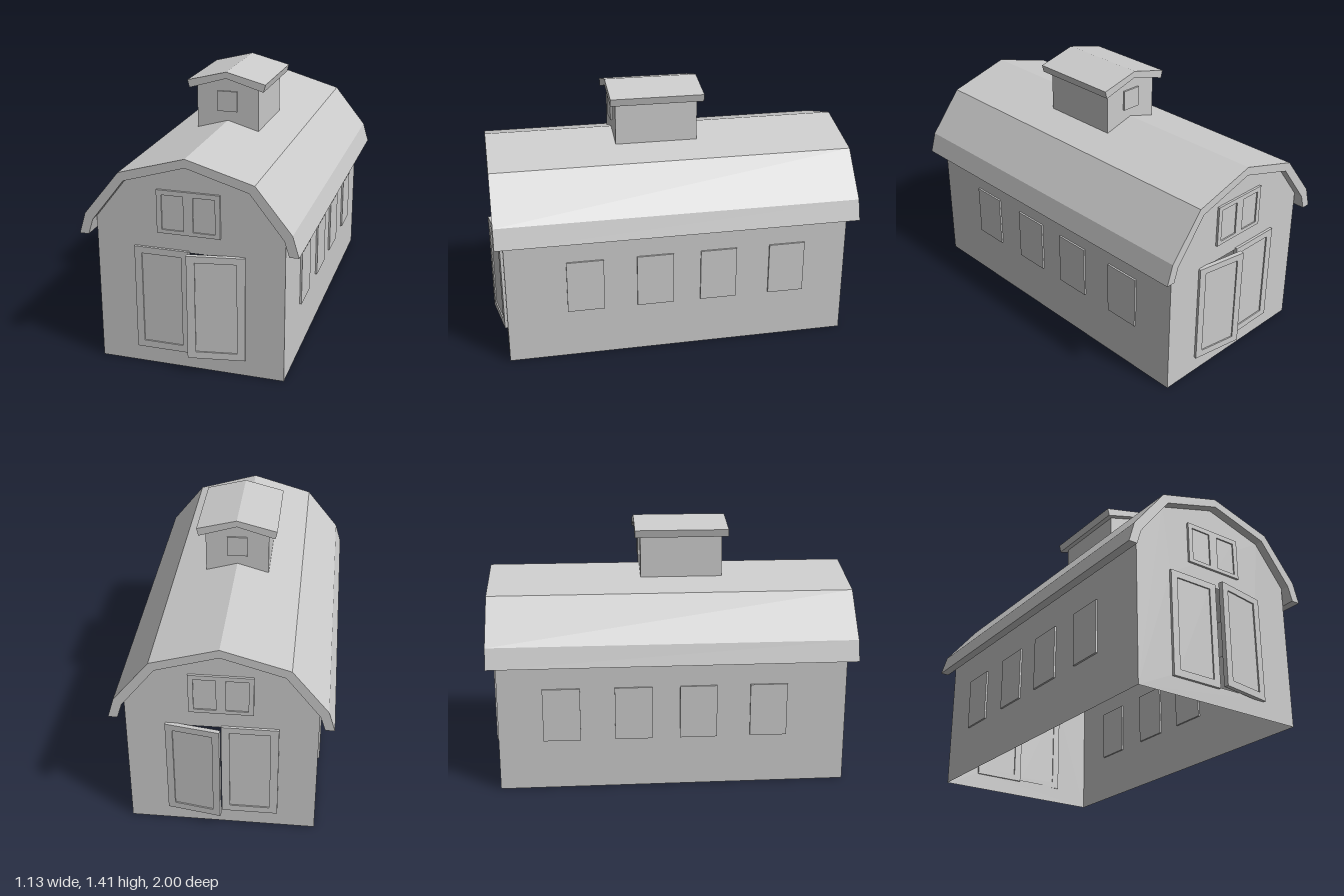
import * as THREE from 'three';

const mat = new THREE.MeshStandardMaterial({ color: 0xcccccc, flatShading: true, side: THREE.DoubleSide });

function add(parent, name, geometry, x = 0, y = 0, z = 0) {
  const mesh = new THREE.Mesh(geometry, mat);
  mesh.name = name;
  mesh.position.set(x, y, z);
  parent.add(mesh);
  return mesh;
}

const shapeOf = (pts) => new THREE.Shape(pts.map(([x, y]) => new THREE.Vector2(x, y)));
const rect = (x0, y0, x1, y1) => [[x0, y0], [x1, y0], [x1, y1], [x0, y1]];

// Mirrors a right-hand profile (ridge to eave) into a full left-to-right line.
const mirrored = (half) => [...half.slice(1).reverse().map(([x, y]) => [-x, y]), ...half];

// Roof slab: outer and inner half profiles swept along z.
function roofGeometry(outer, inner, length) {
  const shape = shapeOf([...mirrored(outer), ...mirrored(inner).reverse()]);
  return new THREE.ExtrudeGeometry(shape, { depth: length, bevelEnabled: false }).translate(0, 0, -length / 2);
}

// Flat panel with a raised frame around each opening; its front face is at z = 0.
function framedPanel(name, outline, openings, depth, recess) {
  const group = new THREE.Group();
  group.name = name;
  const shape = shapeOf(rect(...outline));
  openings.forEach((o) => shape.holes.push(shapeOf(rect(...o))));
  add(group, name + 'Frame', new THREE.ExtrudeGeometry(shape, { depth, bevelEnabled: false }), 0, 0, -depth);
  for (const [x0, y0, x1, y1] of openings) {
    add(group, name + 'Infill', new THREE.BoxGeometry(x1 - x0, y1 - y0, depth - 2 * recess),
      (x0 + x1) / 2, (y0 + y1) / 2, -depth / 2);
  }
  return group;
}

// Gable wall with doors and loft window; ajarSide is the side of the open door.
function gableEnd(name, ajarSide) {
  const end = new THREE.Group();
  end.name = name;
  const wall = shapeOf([...mirrored([[0, 1.1], [0.32, 1.005], [0.487, 0.79], [0.487, 0]])]);
  wall.holes.push(shapeOf(rect(-0.28, 0.1, 0.28, 0.64)));
  add(end, 'gableWall', new THREE.ShapeGeometry(wall), 0, 0, 0.938);

  for (const s of [-1, 1]) {
    const [a, b] = s > 0 ? [-0.29, -0.002] : [0.002, 0.29];
    const ajar = s === ajarSide;
    const shift = s > 0 ? -0.002 : 0.002;
    const door = framedPanel('door', [a + shift, 0.09, b - shift, 0.65],
      [[a + 0.04, 0.127, b - 0.04, 0.615]], 0.024, 0.007);
    door.position.set(s * 0.29, 0, 0.952);
    if (ajar) door.rotation.y = s * 0.165;
    end.add(door);
  }

  const loft = framedPanel('loftWindow', [-0.163, 0.735, 0.163, 0.96],
    [[-0.137, 0.755, -0.025, 0.935], [0.025, 0.755, 0.137, 0.935]], 0.024, 0.007);
  loft.position.z = 0.95;
  end.add(loft);
  return end;
}

export function createModel() {
  const barn = new THREE.Group();
  barn.name = 'barn';

  // Gable ends
  barn.add(gableEnd('frontEnd', 1));
  const back = gableEnd('backEnd', -1);
  back.rotation.y = Math.PI;
  barn.add(back);

  // Long walls with four windows each
  for (const s of [-1, 1]) {
    const wall = add(barn, 'sideWall', new THREE.PlaneGeometry(1.876, 0.79), s * 0.487, 0.395, 0);
    wall.rotation.y = s * Math.PI / 2;
    for (const z of [0.515, 0.135, -0.215, -0.6]) {
      add(barn, 'sideWindow', new THREE.BoxGeometry(0.02, 0.29, 0.2), s * 0.487, 0.418, z);
    }
  }

  // Gambrel roof
  add(barn, 'roof', roofGeometry(
    [[0, 1.14], [0.345, 1.04], [0.53, 0.81], [0.563, 0.7]],
    [[0, 1.095], [0.318, 1.0], [0.49, 0.78], [0.515, 0.7]], 1.966));

  // Cupola on the ridge
  const cupola = new THREE.Group();
  cupola.name = 'cupola';
  cupola.position.z = 0.067;
  barn.add(cupola);
  const gable = shapeOf([[-0.17, 1.09], [0, 1.138], [0.17, 1.09], [0.17, 1.326], [0, 1.378], [-0.17, 1.326]]);
  for (const s of [-1, 1]) {
    const end = add(cupola, 'cupolaEndWall', new THREE.ShapeGeometry(gable), 0, 0, s * 0.224);
    if (s < 0) end.rotation.y = Math.PI;
    const side = add(cupola, 'cupolaSideWall', new THREE.PlaneGeometry(0.448, 0.236), s * 0.17, 1.208, 0);
    side.rotation.y = s * Math.PI / 2;
    add(cupola, 'cupolaWindow', new THREE.BoxGeometry(0.108, 0.11, 0.02), 0, 1.246, s * 0.224);
  }
  add(cupola, 'cupolaRoof', roofGeometry(
    [[0, 1.41], [0.215, 1.355], [0.205, 1.315]],
    [[0, 1.375], [0.2, 1.315]], 0.51));

  return barn;
}
